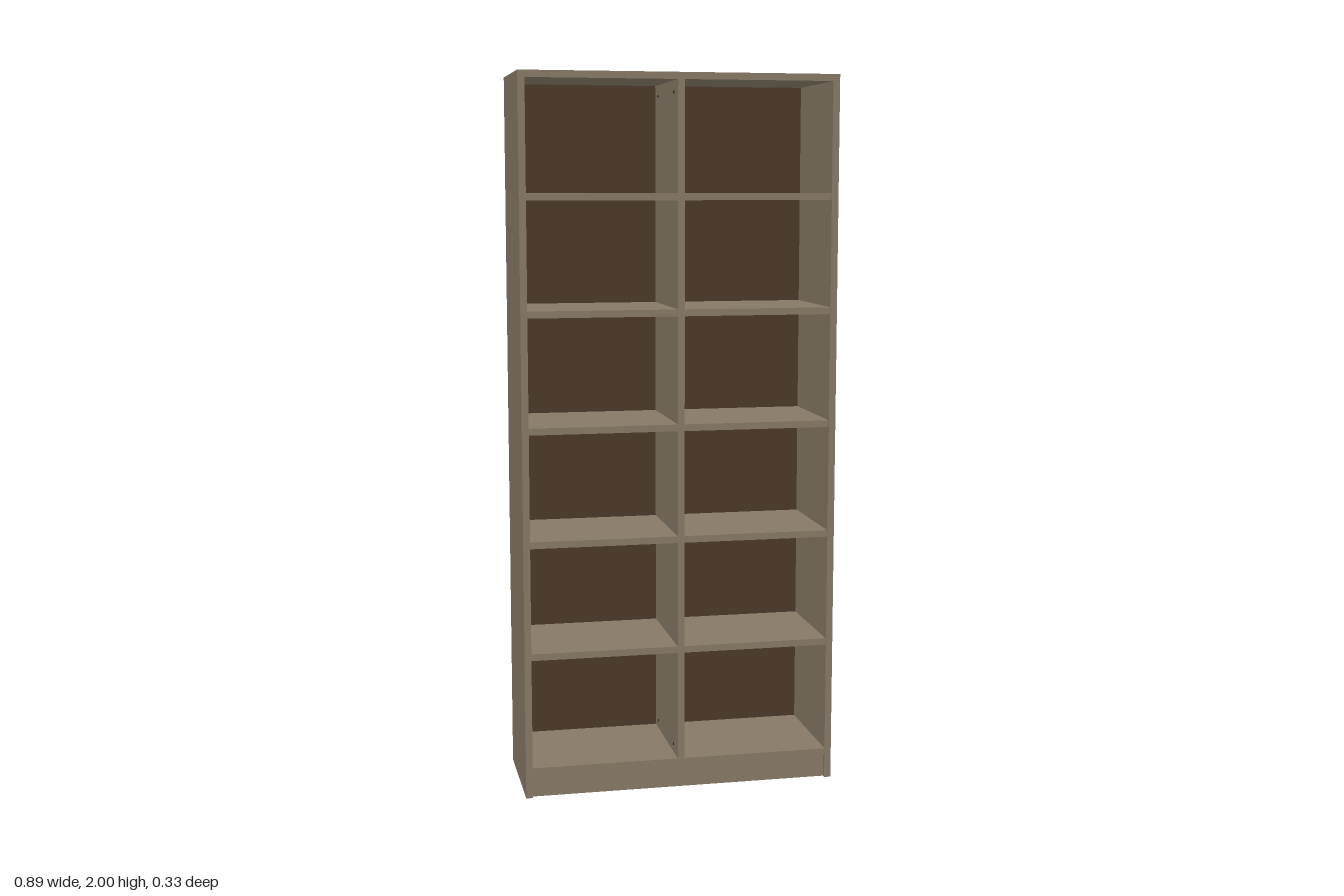
import * as THREE from 'three';

export function createModel() {
  const model = new THREE.Group();
  const material = (name, color) => {
    const m = new THREE.MeshStandardMaterial({ color });
    m.name = name;
    return m;
  };
  const wood = material('taupe wood', 0x8a7c68);
  const pale = material('pale underside', 0xb2a58a);
  const brown = material('dark brown board', 0x4d3b2b);
  const metal = material('dark fitting', 0x2e2822);
  // Boards are taupe with a paler underside
  const boardFaces = [wood, wood, wood, pale, wood, wood];

  const W = 0.886, H = 2, D = 0.332, T = 0.019;
  const inner = W - 2 * T;

  function board(name, w, h, d, x, y, z, mat = boardFaces) {
    const mesh = new THREE.Mesh(new THREE.BoxGeometry(w, h, d), mat);
    mesh.name = name;
    mesh.position.set(x, y, z);
    model.add(mesh);
  }

  // Outer carcass
  for (const side of [-1, 1]) {
    board(side < 0 ? 'rightSide' : 'leftSide', T, H, D, side * (W - T) / 2, H / 2, 0);
  }
  board('topBoard', inner, T, D, 0, H - T / 2, 0);
  const baseY = 0.077;
  board('bottomBoard', inner, T, D, 0, baseY, 0);

  // Kick board set back under the bottom board
  const kickH = baseY - T / 2;
  board('kickBoard', inner, kickH, T, 0, kickH / 2, D / 2 - 0.012 - T / 2);

  // Back panel let into the frame
  const low = baseY + T / 2, high = H - T, backT = 0.006, backZ = -D / 2 + 0.008;
  board('backPanel', inner, high - low, backT, 0, (low + high) / 2, backZ, brown);

  // Central divider and shelves in front of the back panel
  const zBack = backZ + backT / 2, zFront = D / 2 - 0.002;
  const depth = zFront - zBack, zMid = (zFront + zBack) / 2;
  board('divider', T, high - low, depth, 0, (low + high) / 2, zMid);
  const shelfW = (inner - T) / 2;
  for (const y of [0.404, 0.72, 1.035, 1.353, 1.668]) {
    for (const side of [-1, 1]) {
      board('shelf', shelfW, T, depth, side * (T + shelfW) / 2, y, zMid);
    }
  }

  // Small fittings on the divider
  const disc = new THREE.CylinderGeometry(0.004, 0.004, 0.003, 12).rotateZ(Math.PI / 2);
  for (const side of [-1, 1]) {
    for (const y of [0.112, 1.95]) {
      for (const z of [-0.11, 0.11]) {
        const fitting = new THREE.Mesh(disc, metal);
        fitting.name = 'fitting';
        fitting.position.set(side * (T / 2 + 0.001), y, z);
        model.add(fitting);
      }
    }
  }
  return model;
}
